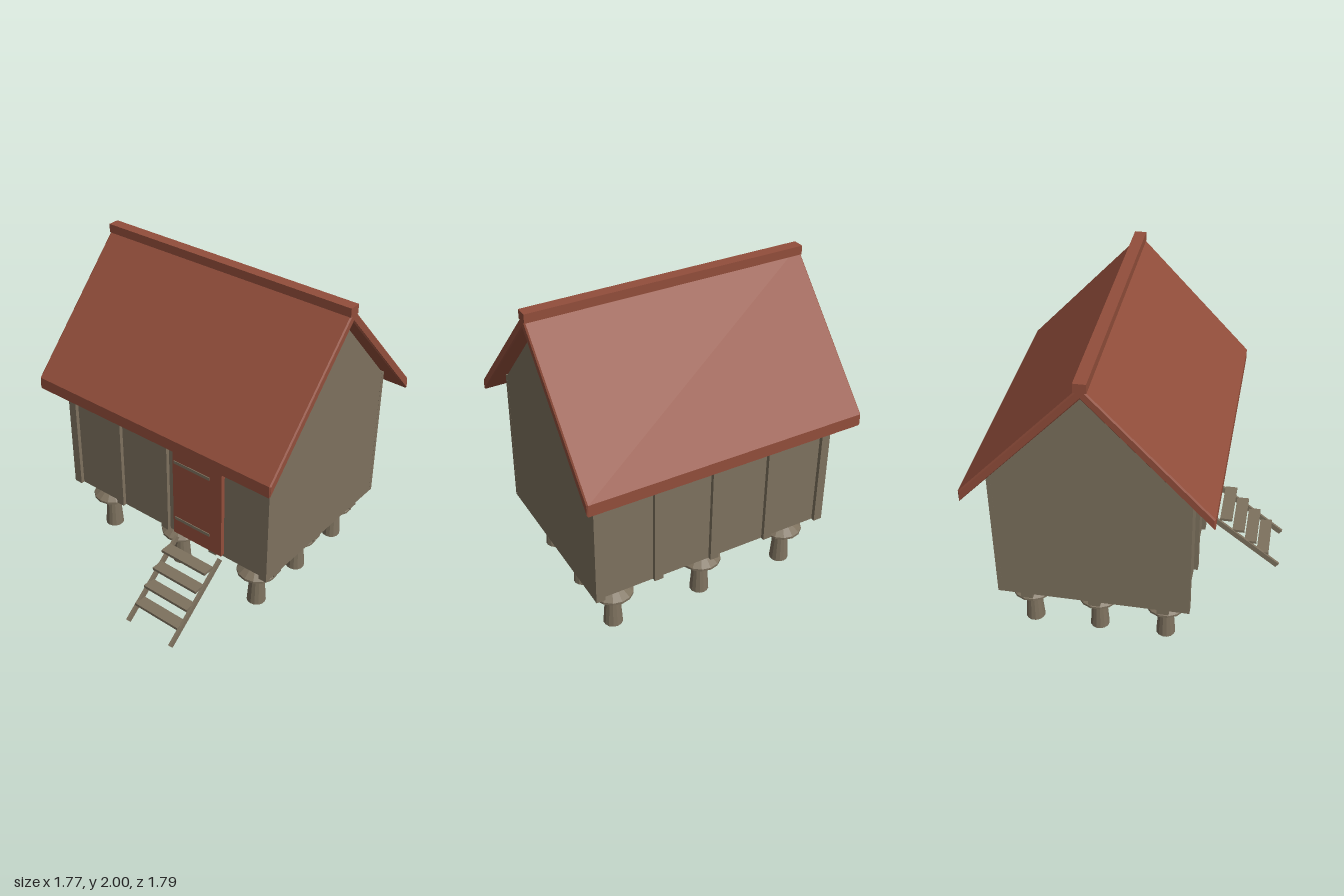
import * as THREE from 'three';

const RIDGE_Z = -0.178;

export function createModel() {
  const hut = new THREE.Group();
  hut.name = 'stiltHut';
  const wood = new THREE.MeshStandardMaterial({ color: 0x7d715e });
  wood.name = 'weathered wood';
  const red = new THREE.MeshStandardMaterial({ color: 0x924e3b });
  red.name = 'red paint';

  const add = (name, geometry, material, parent = hut) => {
    const mesh = new THREE.Mesh(geometry, material);
    mesh.name = name;
    parent.add(mesh);
    return mesh;
  };
  // Box given by its min and max on each axis
  const box = (name, material, x0, x1, y0, y1, z0, z1, parent) => {
    const mesh = add(name, new THREE.BoxGeometry(x1 - x0, y1 - y0, z1 - z0), material, parent);
    mesh.position.set((x0 + x1) / 2, (y0 + y1) / 2, (z0 + z1) / 2);
    return mesh;
  };
  // Profile in (z offset from ridge, y), extruded along x and centred
  const alongX = (points, length, bevel = 0) => {
    const shape = new THREE.Shape(points.map(([z, y]) => new THREE.Vector2(z, y)));
    const depth = length - 2 * bevel;
    const geometry = new THREE.ExtrudeGeometry(shape, {
      depth, bevelEnabled: bevel > 0, bevelSize: bevel, bevelThickness: bevel,
      bevelOffset: -bevel, bevelSegments: 1,
    });
    geometry.translate(0, 0, -depth / 2);
    geometry.rotateY(-Math.PI / 2);
    geometry.translate(0, 0, RIDGE_Z);
    return geometry;
  };

  // Walls with gable ends
  add('walls', alongX([
    [-0.558, 0.38], [0.558, 0.38], [0.558, 1.29], [0, 1.908], [-0.558, 1.29],
  ], 1.575), wood);

  // Vertical battens on front and back
  for (let i = -2; i <= 2; i++) {
    const x = i * 0.38;
    for (const side of [-1, 1]) {
      const z = RIDGE_Z + side * 0.569;
      box('batten', wood, x - 0.028, x + 0.028, 0.38, 1.288, z - 0.0135, z + 0.0135);
    }
  }

  // Roof and ridge cap
  add('roof', alongX([
    [0.718, 1.135], [0.718, 1.21], [0, 1.98], [-0.718, 1.21], [-0.718, 1.135], [0, 1.905],
  ], 1.77, 0.008), red);
  box('ridgeCap', red, -0.885, 0.885, 1.945, 2, RIDGE_Z - 0.036, RIDGE_Z + 0.036);

  // Door with two strap hinges
  const door = new THREE.Group();
  door.name = 'door';
  hut.add(door);
  box('doorPanel', red, 0.097, 0.468, 0.42, 1.1, 0.4, 0.428, door);
  for (const y of [0.54, 0.96]) box('hingeStrap', wood, 0.11, 0.378, y - 0.01, y + 0.01, 0.426, 0.433, door);

  // Floor beams, each on three mushroom-shaped stones
  const stoneProfile = [
    [0, 0.025], [0.06, 0.025], [0.044, 0.252], [0.115, 0.252],
    [0.128, 0.262], [0.128, 0.277], [0.08, 0.315], [0, 0.315],
  ].map(([r, y]) => new THREE.Vector2(r, y));
  const stone = new THREE.LatheGeometry(stoneProfile, 14).toNonIndexed();
  stone.computeVertexNormals();
  for (const dz of [-0.418, 0, 0.418]) {
    const z = RIDGE_Z + dz;
    box('floorBeam', wood, -0.755, 0.755, 0.312, 0.382, z - 0.036, z + 0.036);
    for (const x of [-0.605, 0, 0.605]) add('supportStone', stone, wood).position.set(x, 0, z);
  }

  // Ladder: two sloping rails and four treads
  const ladder = new THREE.Group();
  ladder.name = 'ladder';
  hut.add(ladder);
  const low = new THREE.Vector2(0.885, 0.017), high = new THREE.Vector2(0.418, 0.382);
  const slope = Math.atan2(high.y - low.y, low.x - high.x);
  for (const x of [0.113, 0.452]) {
    const rail = add('ladderRail', new THREE.BoxGeometry(0.017, 0.036, low.distanceTo(high)), wood, ladder);
    rail.position.set(x, (low.y + high.y) / 2, (low.x + high.x) / 2);
    rail.rotation.x = slope;
  }
  for (let i = 0; i < 4; i++) {
    const y = 0.107 + i * 0.0845, front = 0.82 - i * 0.085;
    box('ladderTread', wood, 0.113, 0.452, y - 0.009, y + 0.009, front - 0.08, front, ladder);
  }
  return hut;
}
